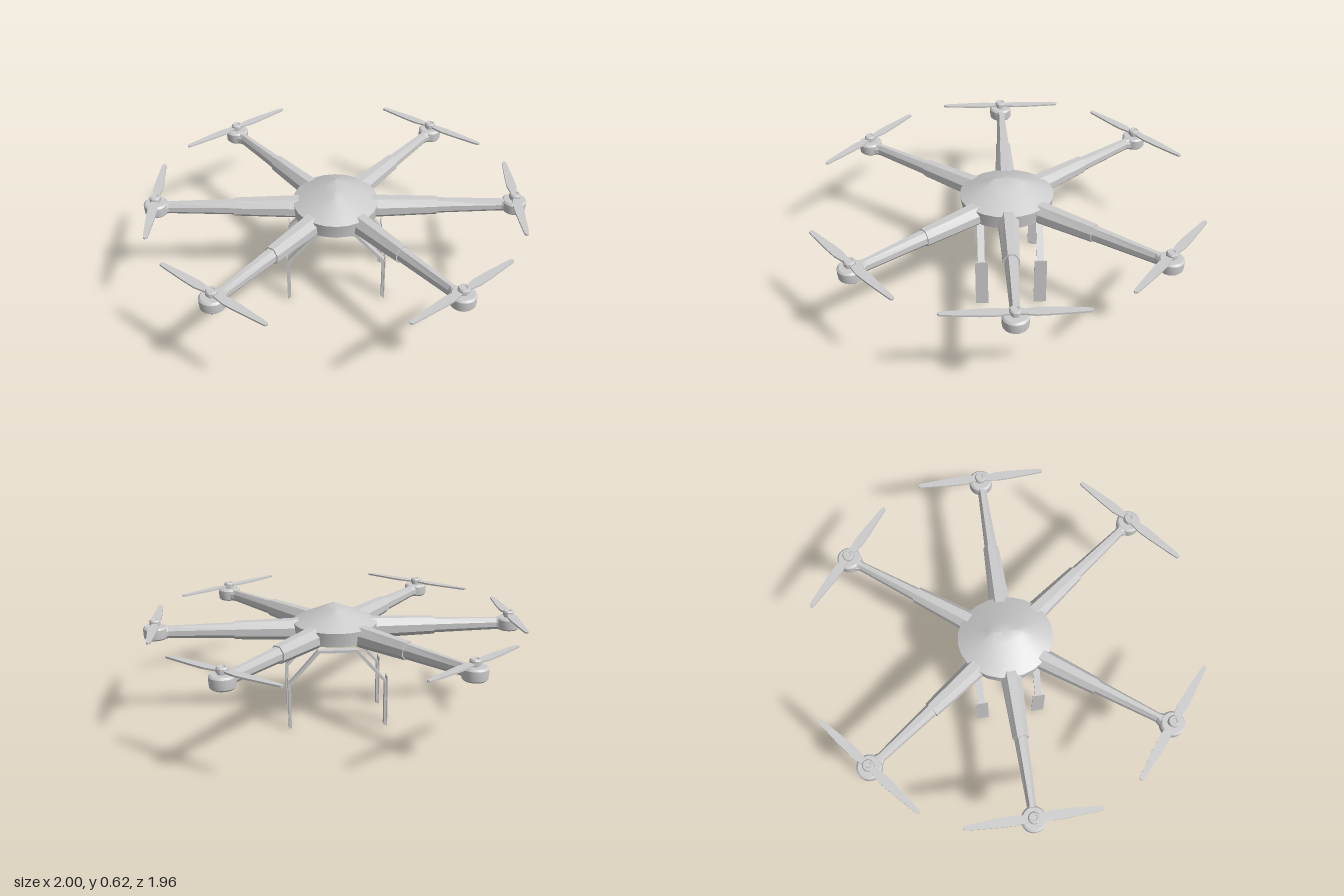
import * as THREE from 'three';
import { toCreasedNormals } from 'three/addons/utils/BufferGeometryUtils.js';

const material = new THREE.MeshStandardMaterial({ color: 0xcccccc });
const flat = new THREE.MeshStandardMaterial({ color: 0xcccccc, flatShading: true });
const CENTER_Z = -0.007;

function add(parent, name, geometry, mat = material) {
  const mesh = new THREE.Mesh(geometry, mat);
  mesh.name = name;
  parent.add(mesh);
  return mesh;
}

// Skin a list of equal-length rings and close both ends
function loft(rings) {
  const n = rings[0].length;
  const points = rings.flat();
  const index = [];
  for (let r = 0; r < rings.length - 1; r++) {
    for (let i = 0; i < n; i++) {
      const a = r * n + i, b = r * n + (i + 1) % n;
      index.push(a, b, b + n, a, b + n, a + n);
    }
  }
  const last = (rings.length - 1) * n;
  for (let i = 1; i < n - 1; i++) {
    index.push(0, i + 1, i);
    index.push(last, last + i, last + i + 1);
  }
  const geometry = new THREE.BufferGeometry().setFromPoints(points);
  geometry.setIndex(index);
  geometry.computeVertexNormals();
  return geometry;
}

// Domed body that closes to a short ridge running front to back
function hubGeometry() {
  const levels = [ // y, half width, half depth
    [0.405, 0.1, 0.08], [0.435, 0.165, 0.175], [0.455, 0.215, 0.235],
    [0.53, 0.222, 0.246], [0.553, 0.17, 0.2], [0.578, 0.11, 0.145],
    [0.6, 0.055, 0.092], [0.615, 0.003, 0.06],
  ];
  const sides = 24;
  const rings = levels.map(([y, rx, rz]) => Array.from({ length: sides }, (_, i) => {
    const a = i / sides * Math.PI * 2;
    return new THREE.Vector3(Math.sin(a) * rx, y, Math.cos(a) * rz);
  }));
  return toCreasedNormals(loft(rings), 0.6);
}

// Bevelled beam along +x; stations are [x, bottom, top, half width]
function beam(stations) {
  const section = [[1, 0.45], [0.3, 1], [-0.5, 1], [-1, 0.5]];
  const outline = [...section, ...section.slice().reverse().map(([v, w]) => [v, -w])];
  return loft(stations.map(([x, bottom, top, half]) => outline.map(([v, w]) =>
    new THREE.Vector3(x, (bottom + top) / 2 + v * (top - bottom) / 2, w * half))));
}

// Two tapered blades as one thin plate lying level
function propellerGeometry() {
  const half = [[0.02, 0.014], [0.09, 0.025], [0.16, 0.023], [0.31, 0.013], [0.335, 0.01], [0.342, 0]];
  const edge = [...half.map(([u, w]) => [u, w]), ...half.slice(0, -1).reverse().map(([u, w]) => [u, -w])];
  const outline = [...edge, ...edge.map(([u, w]) => [-u, -w])];
  const shape = new THREE.Shape(outline.map(([u, w]) => new THREE.Vector2(u, w)));
  const geometry = new THREE.ExtrudeGeometry(shape, { depth: 0.009, bevelEnabled: false });
  return geometry.rotateX(-Math.PI / 2).translate(0, 0.535, 0);
}

function lathe(profile) {
  const points = profile.map(([r, y]) => new THREE.Vector2(r, y));
  return toCreasedNormals(new THREE.LatheGeometry(points, 28), 0.5);
}

// Bent strut with a flat foot plate on its outer face
function landingLeg() {
  const leg = new THREE.Group();
  const shape = new THREE.Shape([
    [0, 0.408], [0.094, 0.408], [0.244, 0.238], [0.244, 0], [0.256, 0],
    [0.256, 0.246], [0.104, 0.422], [0, 0.422],
  ].map(([x, y]) => new THREE.Vector2(x, y)));
  const strut = new THREE.ExtrudeGeometry(shape, { depth: 0.036, bevelEnabled: false });
  add(leg, 'legStrut', strut.translate(0, 0, -0.018));
  add(leg, 'footPlate', new THREE.BoxGeometry(0.005, 0.275, 0.066).translate(0.2575, 0.1375, 0));
  return leg;
}

export function createModel() {
  const model = new THREE.Group();
  model.name = 'hexacopter';

  add(model, 'hub', hubGeometry()).position.z = CENTER_Z;

  const innerArm = beam([[0.1, 0.44, 0.543, 0.052], [0.22, 0.437, 0.543, 0.052], [0.53, 0.447, 0.536, 0.04]]);
  const outerArm = beam([[0.5, 0.452, 0.53, 0.034], [0.87, 0.46, 0.522, 0.022], [0.92, 0.46, 0.522, 0.045]]);
  const motor = lathe([[0, 0.458], [0.053, 0.458], [0.061, 0.466], [0.063, 0.49],
    [0.063, 0.515], [0.054, 0.524], [0, 0.524]]);
  const shaft = lathe([[0, 0.52], [0.022, 0.52], [0.022, 0.532], [0.029, 0.534],
    [0.029, 0.552], [0.024, 0.56], [0.015, 0.56], [0.013, 0.556], [0, 0.556]]);
  const propeller = propellerGeometry();

  // Six arms: motor x, motor z, propeller heading
  for (const side of [1, -1]) {
    for (const [x, z, heading] of [[0.937, 0, Math.PI / 2], [0.57, 0.757, 0.695], [0.57, -0.757, -0.695]]) {
      const arm = new THREE.Group();
      arm.name = 'arm';
      arm.position.z = CENTER_Z;
      model.add(arm);
      const turn = -Math.atan2(z, x * side);
      add(arm, 'innerArm', innerArm, flat).rotation.y = turn;
      add(arm, 'outerArm', outerArm, flat).rotation.y = turn;
      add(arm, 'motor', motor).position.set(x * side, 0, z);
      add(arm, 'propellerHub', shaft).position.set(x * side, 0, z);
      const blades = add(arm, 'propeller', propeller, flat);
      blades.position.set(x * side, 0, z);
      blades.rotation.y = heading * side;
    }
  }

  // Four landing legs
  for (const z of [0.135, -0.172]) {
    for (const turn of [0, Math.PI]) {
      const leg = landingLeg();
      leg.name = 'landingLeg';
      leg.position.z = z;
      leg.rotation.y = turn;
      model.add(leg);
    }
  }
  return model;
}
